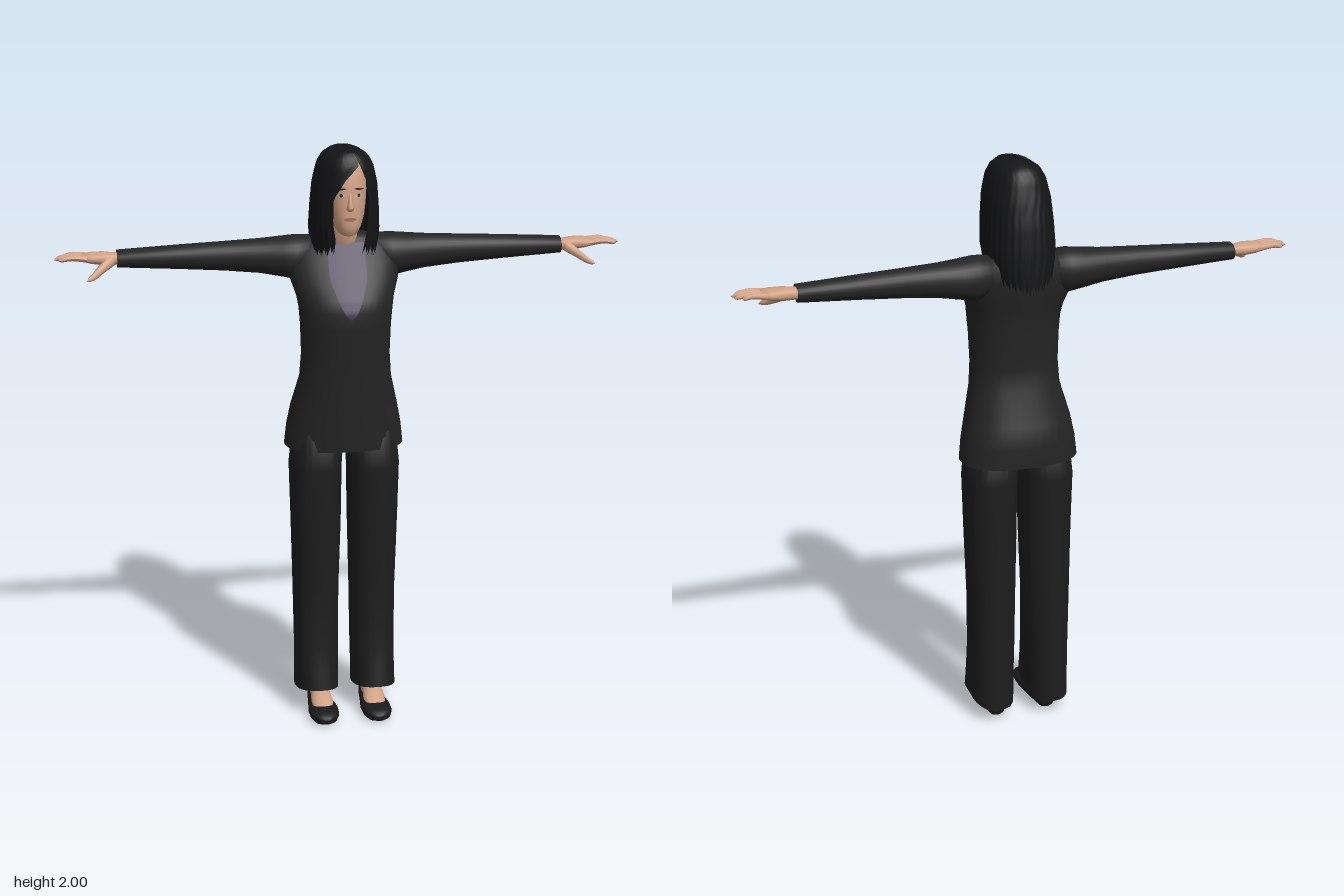
import * as THREE from 'three';

const mat = (name, color, side = THREE.FrontSide) => {
  const m = new THREE.MeshStandardMaterial({ color, side });
  m.name = name;
  return m;
};

// Linear lookup in rows sorted by their first value
function sample(rows, v) {
  let i = 0;
  while (i < rows.length - 2 && v > rows[i + 1][0]) i++;
  const a = rows[i], b = rows[i + 1];
  const t = THREE.MathUtils.clamp((v - a[0]) / (b[0] - a[0]), 0, 1);
  return a.map((x, k) => x + (b[k] - x) * t);
}

const spow = (x, p) => Math.sign(x) * Math.pow(Math.abs(x), p);

// Point on a rounded section [pos, x0, x1, z0, z1, tilt]
function ringPoint([y, x0, x1, z0, z1, tilt = 0], t, n) {
  const dz = (z1 - z0) / 2 * spow(Math.cos(t), 2 / n);
  return [(x0 + x1) / 2 + (x1 - x0) / 2 * spow(Math.sin(t), 2 / n), y + tilt * dz, (z0 + z1) / 2 + dz];
}

// Skin rounded sections along an axis; for 'x' rows are [x, z0, z1, y0, y1], for 'z' [z, y0, y1, x0, x1]
function loft(rows, { n = 2.3, axis = 'y', seg = 28, capStart = true, capEnd = true } = {}) {
  const pos = [], idx = [];
  const put = ([x, y, z]) => pos.push(...(axis === 'y' ? [x, y, z] : axis === 'x' ? [y, z, x] : [z, x, y]));
  for (const r of rows) for (let j = 0; j < seg; j++) put(ringPoint(r, j / seg * Math.PI * 2, n));
  for (let i = 0; i < rows.length - 1; i++) for (let j = 0; j < seg; j++) {
    const k = (j + 1) % seg, a = i * seg + j, b = i * seg + k;
    idx.push(a, b, b + seg, a, b + seg, a + seg);
  }
  const cap = (i, up) => {
    const r = rows[i], c = pos.length / 3;
    put([(r[1] + r[2]) / 2, r[0], (r[3] + r[4]) / 2]);
    for (let j = 0; j < seg; j++) {
      const a = i * seg + j, b = i * seg + (j + 1) % seg;
      idx.push(c, up ? a : b, up ? b : a);
    }
  };
  if (capStart) cap(0, false);
  if (capEnd) cap(rows.length - 1, true);
  return build(pos, idx);
}

function build(pos, idx) {
  const g = new THREE.BufferGeometry();
  g.setAttribute('position', new THREE.Float32BufferAttribute(pos, 3));
  g.setIndex(idx);
  g.computeVertexNormals();
  return g;
}

// Mirror across x and keep faces outward
function mirror(geo) {
  const g = geo.clone().scale(-1, 1, 1), a = g.index.array;
  for (let i = 0; i < a.length; i += 3) [a[i], a[i + 1]] = [a[i + 1], a[i]];
  g.computeVertexNormals();
  return g;
}

// Press a flat geometry onto the front of a lofted body
function drape(g, rows, n, off) {
  const p = g.attributes.position;
  for (let i = 0; i < p.count; i++) {
    const [, x0, x1, z0, z1] = sample(rows, p.getY(i));
    const u = Math.min(1, Math.abs((p.getX(i) - (x0 + x1) / 2) / ((x1 - x0) / 2)));
    p.setZ(i, (z0 + z1) / 2 + (z1 - z0) / 2 * Math.pow(1 - Math.pow(u, n), 1 / n) + off);
  }
  g.computeVertexNormals();
  return g;
}
const patch = (cx, cy, rx, ry, rows, n, off, rot = 0) =>
  drape(new THREE.RingGeometry(0, 1, 20, 2).scale(rx, ry, 1).rotateZ(rot).translate(cx, cy, 0), rows, n, off);

// Tapered finger along points
function finger(points, r0, r1) {
  const path = new THREE.CatmullRomCurve3(points.map(p => new THREE.Vector3(...p)));
  const N = 10, R = 8, g = new THREE.TubeGeometry(path, N, 1, R, false), p = g.attributes.position;
  const v = new THREE.Vector3();
  for (let i = 0; i <= N; i++) {
    const c = path.getPointAt(i / N);
    const r = i === N ? 0.0005 : (r0 + (r1 - r0) * i / N) * (i === N - 1 ? 0.85 : 1);
    for (let j = 0; j <= R; j++) {
      const k = i * (R + 1) + j;
      v.fromBufferAttribute(p, k).sub(c).multiplyScalar(r).add(c);
      p.setXYZ(k, v.x, v.y, v.z);
    }
  }
  g.computeVertexNormals();
  return g;
}

const sym = (y, w, z0, z1) => [y, -w, w, z0, z1];

const TORSO = [
  sym(0.97, 0.205, -0.17, 0.10), sym(1.04, 0.197, -0.17, 0.106), sym(1.11, 0.183, -0.16, 0.11),
  sym(1.22, 0.156, -0.108, 0.118), sym(1.3, 0.15, -0.105, 0.124), sym(1.4, 0.153, -0.11, 0.135),
  sym(1.46, 0.158, -0.113, 0.139), sym(1.5, 0.165, -0.118, 0.122), sym(1.55, 0.182, -0.127, 0.09),
  sym(1.61, 0.19, -0.135, 0.05), sym(1.655, 0.175, -0.132, 0.02), sym(1.685, 0.13, -0.12, 0.002),
  sym(1.70, 0.07, -0.10, -0.012)];
const HEAD = [
  sym(1.712, 0.018, 0.03, 0.09), sym(1.72, 0.032, 0.0, 0.104), sym(1.745, 0.047, -0.04, 0.111),
  sym(1.78, 0.059, -0.08, 0.112), sym(1.82, 0.066, -0.11, 0.111), sym(1.86, 0.069, -0.12, 0.108),
  sym(1.91, 0.067, -0.115, 0.104), sym(1.95, 0.055, -0.1, 0.085), sym(1.97, 0.03, -0.06, 0.05)];
const HAIR = [
  sym(1.55, 0.085, -0.18, 0.06), sym(1.6, 0.098, -0.182, 0.085), sym(1.65, 0.108, -0.182, 0.105),
  sym(1.72, 0.117, -0.178, 0.121), sym(1.8, 0.113, -0.168, 0.126), sym(1.88, 0.106, -0.15, 0.126),
  sym(1.94, 0.092, -0.132, 0.12), sym(1.97, 0.075, -0.117, 0.108), sym(1.99, 0.045, -0.092, 0.088),
  sym(2.0, 0.004, -0.03, 0.02)];
// Face opening in the hair: height, right edge, left edge
const PARTING = [[1.55, -0.06, 0.05], [1.65, -0.052, 0.042], [1.7, -0.048, 0.05], [1.76, -0.057, 0.06],
  [1.84, -0.055, 0.061], [1.9, -0.018, 0.052], [1.95, 0.03, 0.031], [2.01, 0.0, 0.0]];

// Strand-ribbed hair shell with a side parting and ragged ends
function hairGeometry() {
  const N = 28, M = 120, n = 2.4, pos = [], idx = [];
  for (let i = 0; i <= N; i++) for (let j = 0; j <= M; j++) {
    const u = j / M, front = Math.abs(u - 0.5) * 2;
    const end = 1.575 + 0.075 * front + ((j * 7) % 5) * 0.008;
    const y = 2 - (2 - end) * Math.pow(i / N, 1.5);
    const s = sample(HAIR, y), [, xr, xl] = sample(PARTING, y);
    const ang = x => Math.asin(spow(THREE.MathUtils.clamp(x / s[2], -1, 1), n / 2));
    const t0 = ang(xl), t = t0 + (ang(xr) + Math.PI * 2 - t0) * u;
    const p = ringPoint(s, t, n), rib = 1 - 0.02 * (0.5 + 0.5 * Math.sin(j * 1.35)) * i / N;
    pos.push(p[0] * rib, p[1], p[2] * rib);
    if (i < N && j < M) {
      const a = i * (M + 1) + j, d = a + M + 1;
      idx.push(a, d, d + 1, a, d + 1, a + 1);
    }
  }
  return build(pos, idx);
}

export function createModel() {
  const model = new THREE.Group();
  model.name = 'standingWoman';
  const jacket = mat('jacketBlack', 0x242424, THREE.DoubleSide);
  const trousers = mat('trouserBlack', 0x1d1d1d, THREE.DoubleSide);
  const shoe = mat('shoeBlack', 0x1a1a1c), hair = mat('hairBlack', 0x141517, THREE.DoubleSide);
  const skin = mat('skin', 0xcfa083), shirt = mat('shirtPurple', 0x4a3d58, THREE.DoubleSide);
  const lip = mat('lips', 0xa8705f), dark = mat('eyeBrown', 0x3a2a24), white = mat('eyeWhite', 0xc9bdb3);
  const add = (name, geo, m) => {
    const mesh = new THREE.Mesh(geo, m);
    mesh.name = name;
    model.add(mesh);
  };
  const pair = (name, geo, m) => {
    add(name + 'Left', geo, m);
    add(name + 'Right', mirror(geo), m);
  };

  // Jacket and the shirt showing in its neckline
  add('jacketBody', loft(TORSO, { n: 2.3, seg: 40, capStart: false }), jacket);
  const front = new THREE.PlaneGeometry(2, 0.235, 10, 28).translate(0, 1.5575, 0), fp = front.attributes.position;
  for (let i = 0; i < fp.count; i++) {
    const k = Math.min(1, Math.max(0, fp.getY(i) - 1.44) / 0.13);
    fp.setX(i, fp.getX(i) * 0.063 * Math.pow(k, 0.6));
  }
  add('shirtFront', drape(front, TORSO, 2.3, 0.006), shirt);
  pair('sleeve', loft([
    [0.09, -0.115, 0.0, 1.57, 1.692], [0.16, -0.13, 0.018, 1.545, 1.695], [0.21, -0.13, 0.01, 1.555, 1.69],
    [0.28, -0.12, -0.005, 1.568, 1.684], [0.4, -0.112, -0.015, 1.58, 1.678], [0.55, -0.11, -0.02, 1.59, 1.671],
    [0.755, -0.107, -0.026, 1.602, 1.66]], { axis: 'x', n: 2.1 }), jacket);

  // Hands
  pair('palm', loft([
    [0.73, -0.092, -0.042, 1.612, 1.65], [0.77, -0.092, -0.038, 1.612, 1.652], [0.8, -0.1, -0.03, 1.612, 1.656],
    [0.84, -0.105, -0.026, 1.618, 1.655], [0.87, -0.1, -0.03, 1.626, 1.65]], { axis: 'x', seg: 18 }), skin);
  [[-0.094, -0.1, 0.935], [-0.075, -0.076, 0.957], [-0.055, -0.052, 0.962], [-0.037, -0.028, 0.948]]
    .forEach(([z0, z1, x], i) => pair('finger' + (i + 1),
      finger([[0.855, 1.638, z0], [0.905, 1.643, (z0 + z1) / 2], [x, 1.636, z1]], 0.0115, 0.007), skin));
  pair('thumb', finger([[0.775, 1.628, -0.045], [0.81, 1.605, -0.015], [0.835, 1.588, 0.012], [0.858, 1.578, 0.032]], 0.019, 0.008), skin);

  // Trousers with slanted hems
  pair('trouserLeg', loft([
    [0.075, 0.026, 0.177, -0.14, 0.11, 0.2], [0.15, 0.026, 0.176, -0.138, 0.097, 0.1], [0.25, 0.024, 0.176, -0.136, 0.078],
    [0.45, 0.021, 0.179, -0.134, 0.067], [0.7, 0.014, 0.185, -0.133, 0.082], [0.9, 0.011, 0.19, -0.138, 0.088],
    [1.05, 0.002, 0.175, -0.13, 0.085]], { n: 2.5, capStart: false }), trousers);

  // Feet and slip-on shoes
  pair('ankle', loft([[0.03, 0.06, 0.124, -0.07, 0.05], [0.09, 0.063, 0.121, -0.07, 0.03], [0.2, 0.06, 0.125, -0.07, 0.01]], { seg: 16 }), skin);
  pair('instep', loft([[-0.05, 0.02, 0.085, 0.065, 0.12], [0.02, 0.02, 0.092, 0.06, 0.126],
    [0.07, 0.02, 0.07, 0.055, 0.131], [0.125, 0.02, 0.044, 0.06, 0.128]], { axis: 'z', n: 2, seg: 18 }), skin);
  pair('shoe', loft([
    [-0.09, 0.005, 0.045, 0.078, 0.108], [-0.08, 0, 0.052, 0.065, 0.121], [-0.04, 0, 0.05, 0.056, 0.13],
    [0.03, 0, 0.04, 0.049, 0.137], [0.09, 0, 0.045, 0.041, 0.145], [0.14, 0, 0.046, 0.043, 0.144],
    [0.17, 0, 0.039, 0.055, 0.133], [0.187, 0.006, 0.028, 0.077, 0.112]], { axis: 'z', n: 2.7 }), shoe);

  // Neck, head and face
  add('neck', loft([sym(1.62, 0.055, -0.1, 0.01), sym(1.69, 0.046, -0.085, 0.022), sym(1.77, 0.046, -0.08, 0.05)], { n: 2 }), skin);
  add('head', loft(HEAD, { n: 2.3, seg: 36 }), skin);
  add('nose', loft([sym(1.797, 0.006, 0.09, 0.114), sym(1.803, 0.013, 0.09, 0.126), sym(1.812, 0.011, 0.09, 0.129),
    sym(1.835, 0.007, 0.09, 0.118), sym(1.858, 0.005, 0.09, 0.109)], { n: 2, seg: 14 }), skin);
  add('mouth', patch(0, 1.771, 0.021, 0.006, HEAD, 2.3, 0.003), lip);
  for (const [s, side] of [[1, 'Left'], [-1, 'Right']]) {
    add('eyeWhite' + side, patch(s * 0.029, 1.85, 0.013, 0.0055, HEAD, 2.3, 0.002), white);
    add('iris' + side, patch(s * 0.029, 1.85, 0.0055, 0.0055, HEAD, 2.3, 0.004), dark);
    add('eyebrow' + side, patch(s * 0.031, 1.87, 0.018, 0.003, HEAD, 2.3, 0.003, -s * 0.1), dark);
  }
  add('hair', hairGeometry(), hair);
  return model;
}
